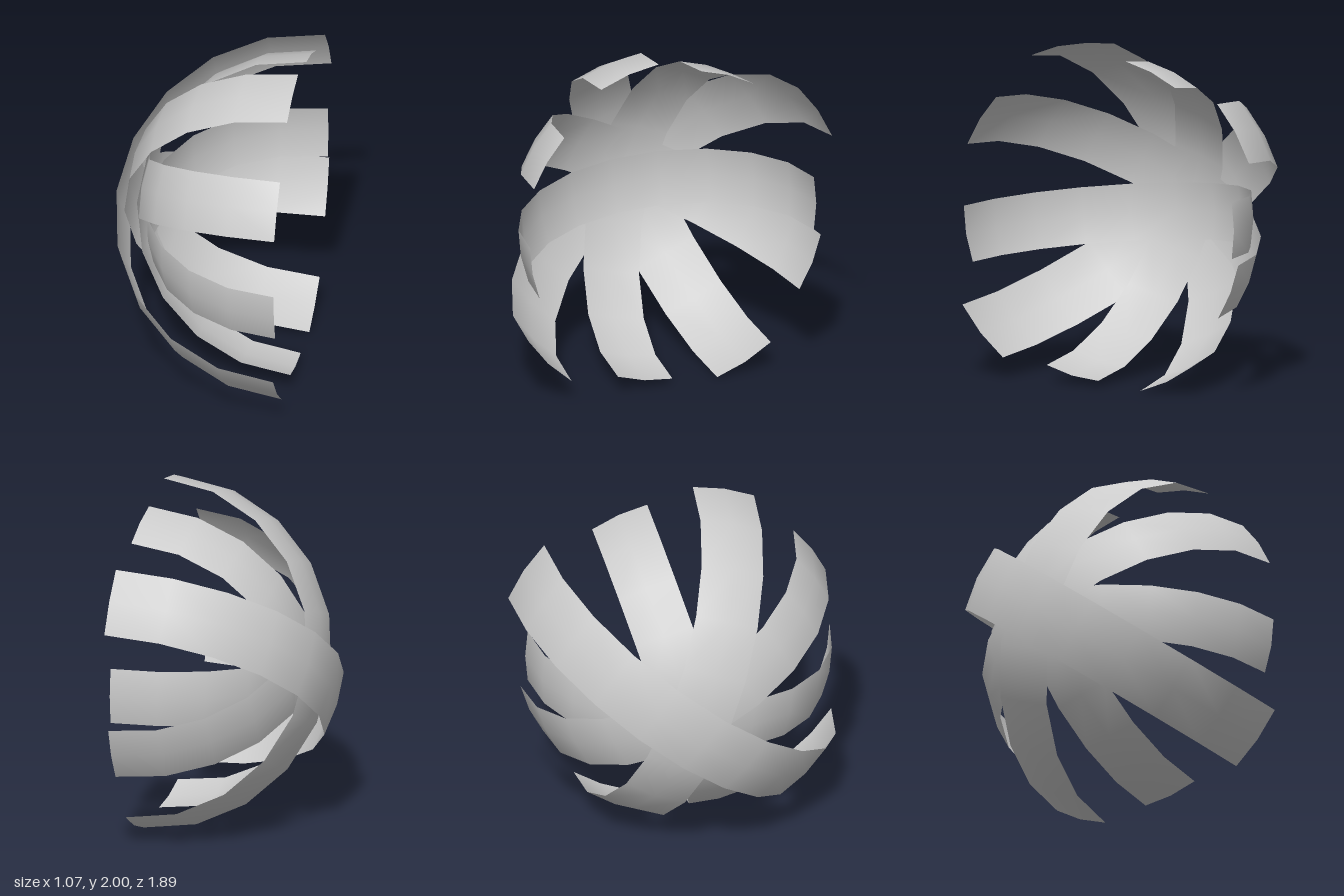
import * as THREE from 'three';

// Five nested half-hoop straps, each a narrow band of a sphere, fanned about the x axis
const CENTER = new THREE.Vector3(0.53, 0.985, 0.045);
const STRAPS = [
  { radius: 0.893, angle: 5.2 },
  { radius: 1.07, angle: 37.8 },
  { radius: 0.946, angle: 73.9 },
  { radius: 1.019, angle: 110.9 },
  { radius: 0.942, angle: 152 },
];

export function createModel() {
  const rad = THREE.MathUtils.degToRad;
  const material = new THREE.MeshStandardMaterial({ color: 0xcccccc, side: THREE.DoubleSide });
  const model = new THREE.Group();
  model.name = 'strapBasket';

  STRAPS.forEach(({ radius, angle }, i) => {
    // Band sits off the great circle, so each strap is wider on one side
    const band = new THREE.SphereGeometry(radius, 10, 2, 0, Math.PI, rad(84.7), rad(21.1));
    band.rotateY(-Math.PI / 2); // crown of the arch points to -x
    const strap = new THREE.Mesh(band, material);
    strap.name = `strap${i + 1}`;
    strap.rotation.x = rad(angle);
    strap.position.copy(CENTER);
    model.add(strap);
  });
  return model;
}
